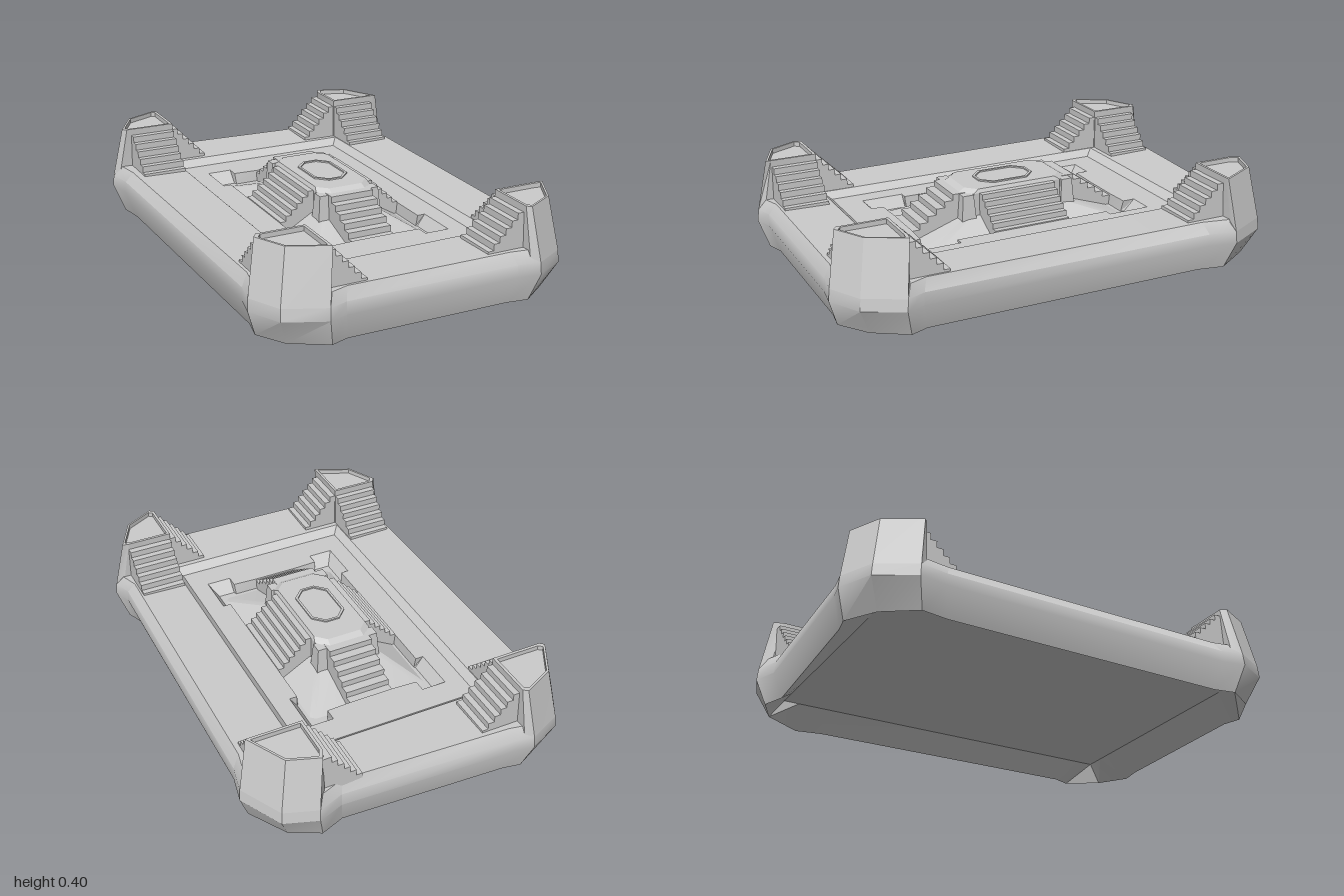
import * as THREE from 'three';
import { toCreasedNormals } from 'three/addons/utils/BufferGeometryUtils.js';

const mat = new THREE.MeshStandardMaterial({ color: 0xcccccc });

// Four corner outlines in plan (x, z), counter-clockwise seen from above
const corners = [
  [[-0.40, -0.985], [-0.48, -1.0], [-0.63, -0.93], [-0.72, -0.77], [-0.70, -0.65]],
  [[-0.68, 0.68], [-0.70, 0.78], [-0.63, 0.92], [-0.46, 0.995], [-0.38, 0.97]],
  [[0.38, 0.98], [0.48, 0.995], [0.62, 0.92], [0.705, 0.76], [0.675, 0.68]],
  [[0.69, -0.63], [0.715, -0.75], [0.62, -0.935], [0.48, -0.985], [0.37, -0.945]],
];

const level = (pts, y) => pts.map(([x, z]) => [x, y, z]);
const scaled = (pts, sx, sz) => pts.map(([x, z]) => [x * sx, z * sz]);
const centre = (loop) => [0, 1, 2].map((k) => loop.reduce((s, p) => s + p[k], 0) / loop.length);
// Pulls points into the rectangle |x| <= mx, |z| <= mz
const within = (pts, mx, mz) => pts.map(([x, z]) => [
  THREE.MathUtils.clamp(x, -mx, mx), THREE.MathUtils.clamp(z, -mz, mz),
]);
// Keeps corner points on the tower side of the lines |x| = mx and |z| = mz
const atLeast = (pts, mx, mz) => pts.map(([x, z]) => [
  Math.sign(x) * Math.max(mx, Math.abs(x)), Math.sign(z) * Math.max(mz, Math.abs(z)),
]);

// Joins closed loops into a skin, optionally capping the first and last loop
function loft(loops, capStart, capEnd, crease = 0.5) {
  const out = [];
  const va = new THREE.Vector3(), vb = new THREE.Vector3(), vc = new THREE.Vector3();
  const tri = (a, b, c) => {
    va.set(...a); vb.set(...b); vc.set(...c);
    if (vb.sub(va).cross(vc.sub(va)).length() > 1e-7) out.push(...a, ...b, ...c);
  };
  const n = loops[0].length;
  const last = loops[loops.length - 1];
  for (let i = 0; i < n; i++) {
    const j = (i + 1) % n;
    for (let k = 0; k + 1 < loops.length; k++) {
      tri(loops[k][i], loops[k][j], loops[k + 1][j]);
      tri(loops[k][i], loops[k + 1][j], loops[k + 1][i]);
    }
    if (capStart) tri(loops[0][j], loops[0][i], centre(loops[0]));
    if (capEnd) tri(last[i], last[j], centre(last));
  }
  const g = new THREE.BufferGeometry();
  g.setAttribute('position', new THREE.Float32BufferAttribute(out, 3));
  g.computeVertexNormals();
  return toCreasedNormals(g, crease);
}

// Stair block whose steps descend along local +x
function stairGeometry(run, width, top, low, base, n) {
  const s = new THREE.Shape();
  s.moveTo(-0.02, base);
  s.lineTo(-0.02, top);
  for (let i = 0; i < n; i++) {
    const y = top + (low - top) * i / (n - 1);
    s.lineTo(run * i / n, y);
    s.lineTo(run * (i + 1) / n, y);
  }
  s.lineTo(run, base);
  return new THREE.ExtrudeGeometry(s, { depth: width, bevelEnabled: false }).translate(0, 0, -width / 2);
}

// Rectangle with cut corners, counter-clockwise from above
const octagon = (x, z, c) => [
  [x - c, -z], [c - x, -z], [-x, c - z], [-x, z - c],
  [c - x, z], [x - c, z], [x, z - c], [x, c - z],
];

export function createModel() {
  const group = new THREE.Group();
  const add = (name, geometry, x = 0, y = 0, z = 0, angle = 0) => {
    const m = new THREE.Mesh(geometry, mat);
    m.name = name;
    m.position.set(x, y, z);
    m.rotation.y = angle;
    group.add(m);
  };
  const floorY = 0.185, pitY = 0.135;

  // Base slab: hollowed underside, bulging corners, steep sill and dished yard edge
  const outline = corners.flat();
  const bottom = corners.flatMap((c) => c.map(([x, z], i) =>
    (i === 2 ? [x * 0.925, z * 0.945] : [x * 0.94, z * 0.96])));
  add('base', loft([
    level(within(outline, 0.57, 0.82), 0.09),
    level(bottom, 0),
    level(outline, 0.12),
    level(scaled(outline, 0.995, 0.995), 0.172),
    level(scaled(outline, 0.95, 0.963), 0.22),
    level(within(outline, 0.43, 0.7), 0.215),
    level(within(outline, 0.4, 0.665), floorY),
  ], true, false));

  // Courtyard floor with a notched pit
  const quarter = [[0.1, 0.49], [0.21, 0.495], [0.21, 0.55], [0.32, 0.55], [0.32, 0.36], [0.285, 0.36], [0.285, 0.18]];
  const sunk = [[0.1, 0.485], [0.205, 0.485], [0.21, 0.5], [0.285, 0.5], [0.285, 0.36], [0.28, 0.355], [0.28, 0.18]];
  const mirrored = (q) => [[1, 1], [1, -1], [-1, -1], [-1, 1]].flatMap(([sx, sz]) =>
    scaled(sx * sz > 0 ? q : [...q].reverse(), sx, sz));
  const pit = mirrored(quarter);
  const toVec = (p) => new THREE.Vector2(...p);
  const floor = new THREE.Shape([[-0.4, -0.665], [0.4, -0.665], [0.4, 0.665], [-0.4, 0.665]].map(toVec));
  floor.holes.push(new THREE.Path(pit.map(toVec)));
  add('courtyardFloor', new THREE.ShapeGeometry(floor).rotateX(-Math.PI / 2), 0, floorY, 0);
  add('pitWalls', loft([level(pit, floorY), level(mirrored(sunk), pitY)], false, false, 0.3));
  add('pitFloor', new THREE.PlaneGeometry(0.58, 1.01).rotateX(-Math.PI / 2), 0, pitY, 0);

  // Corner towers with a thin raised rim, and two stairs each
  corners.forEach((pts) => {
    const sx = Math.sign(pts[2][0]), sz = Math.sign(pts[2][1]);
    const nook = [sx * 0.43, sz * 0.72];
    const foot = [...atLeast(scaled(pts, 0.995, 0.995), 0.44, 0.735), nook];
    const top = [...atLeast(scaled(pts, 0.935, 0.955), 0.43, 0.72), nook];
    const mid = centre(level(top, 0));
    const rim = top.map(([x, z]) => [mid[0] + (x - mid[0]) * 0.88, mid[2] + (z - mid[2]) * 0.88]);
    add('cornerTower', loft([
      level(foot, 0.172), level(top, 0.4), level(rim, 0.4), level(rim, 0.38),
    ], false, true));
    add('towerSideStair', stairGeometry(0.16, 0.2, 0.37, 0.23, 0.18, 6),
      sx * 0.43, 0, sz * 0.823, sx > 0 ? Math.PI : 0);
    add('towerEndStair', stairGeometry(0.17, 0.2, 0.37, 0.23, 0.18, 6),
      sx * 0.533, 0, sz * 0.72, sz > 0 ? Math.PI / 2 : -Math.PI / 2);
  });

  // Low mound between the stairs
  add('mound', loft([
    level(octagon(0.27, 0.47, 0.02), pitY),
    level(octagon(0.14, 0.25, 0.02), 0.21),
  ], false, true, 0.3));

  // Podium with chamfered top edge and a thin oval ring
  add('podium', loft([
    level(octagon(0.13, 0.26, 0.05), 0.13),
    level(octagon(0.13, 0.26, 0.05), 0.31),
    level(octagon(0.122, 0.23, 0.045), 0.326),
  ], false, true, 0.2));
  const oval = octagon(0.08, 0.13, 0.048);
  const ovalIn = scaled(oval, 0.87, 0.92);
  add('ovalRing', loft([
    level(oval, 0.32), level(oval, 0.332), level(ovalIn, 0.332), level(ovalIn, 0.32),
  ], false, false, 0.3), 0, 0, 0.01);

  // Four stairs and four corner buttresses around the podium
  for (const s of [1, -1]) {
    add('podiumSideStair', stairGeometry(0.155, 0.355, 0.31, 0.19, 0.13, 6),
      s * 0.13, 0, 0.005, s > 0 ? 0 : Math.PI);
    add('podiumEndStair', stairGeometry(0.235, 0.2, 0.312, 0.178, 0.13, 6),
      0, 0, s * 0.255, s > 0 ? -Math.PI / 2 : Math.PI / 2);
    for (const t of [1, -1]) {
      add('cornerButtress', toCreasedNormals(new THREE.CylinderGeometry(0.035, 0.055, 0.17, 4), 0.3),
        s * 0.115, 0.225, t * 0.24, Math.atan2(s, t));
    }
  }
  return group;
}
